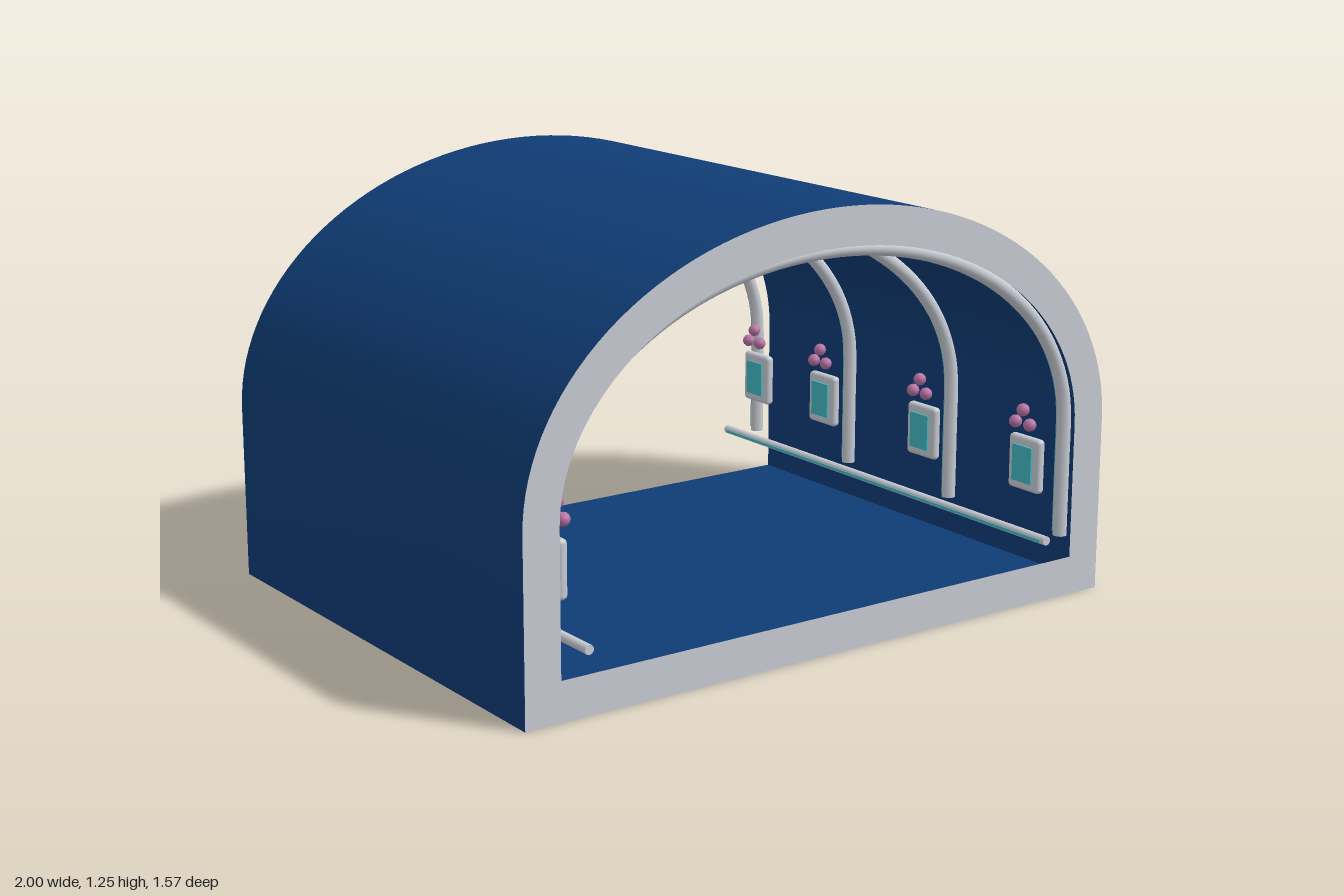
import * as THREE from 'three';
import { toCreasedNormals } from 'three/addons/utils/BufferGeometryUtils.js';
import { RoundedBoxGeometry } from 'three/addons/geometries/RoundedBoxGeometry.js';

const material = (name, color) => {
  const m = new THREE.MeshStandardMaterial({ color });
  m.name = name;
  return m;
};
const navy = material('navy shell', 0x0f3c75);
const silver = material('silver trim', 0xc8ccd4);
silver.side = THREE.DoubleSide;
const teal = material('teal light', 0x45b8c4);
const pink = material('pink blossom', 0xb873a4);

const HALF_DEPTH = 0.785;
const SPRING = 0.52; // height where the walls turn into the elliptical vault

// Points over the vault from the +x side to the -x side
function vault(a, b, n) {
  return Array.from({ length: n + 1 }, (_, i) => {
    const t = (Math.PI * i) / n;
    return new THREE.Vector2(a * Math.cos(t), SPRING + b * Math.sin(t));
  });
}

// Closed tunnel outline: flat floor, upright walls, elliptical vault
const outline = (a, floor, b) =>
  [new THREE.Vector2(-a, floor), new THREE.Vector2(a, floor), ...vault(a, b, 64)];

function ring(inner) {
  const shape = new THREE.Shape(outline(1, 0, 0.727));
  shape.holes.push(new THREE.Path(inner));
  return shape;
}

// Arch path with straight legs
function archCurve(a, b, foot, z) {
  const legs = [0, 0.33, 0.66].map((t) => foot + (SPRING - foot) * t);
  const points = [
    ...legs.map((y) => new THREE.Vector3(a, y, z)),
    ...vault(a, b, 28).map((p) => new THREE.Vector3(p.x, p.y, z)),
    ...legs.reverse().map((y) => new THREE.Vector3(-a, y, z)),
  ];
  return new THREE.CatmullRomCurve3(points);
}

export function createModel() {
  const root = new THREE.Group();
  root.name = 'tunnel';

  const add = (parent, name, geometry, mat, x = 0, y = 0, z = 0) => {
    const mesh = new THREE.Mesh(geometry, mat);
    mesh.name = name;
    mesh.position.set(x, y, z);
    parent.add(mesh);
    return mesh;
  };

  // Hollow shell with a floor, open at both ends
  const shell = new THREE.ExtrudeGeometry(ring(outline(0.98, 0.02, 0.707)), {
    depth: HALF_DEPTH * 2 - 0.002, bevelEnabled: false,
  });
  add(root, 'shell', toCreasedNormals(shell, 0.6), navy, 0, 0, -HALF_DEPTH);

  // Wide flat portal frame on the front end
  add(root, 'portalFrame', new THREE.ShapeGeometry(ring(outline(0.89, 0.115, 0.617))),
    silver, 0, 0, HALF_DEPTH);

  // Four arched ribs, each with a light strip on its rear side
  for (const z of [-0.737, -0.245, 0.245, 0.737]) {
    const rib = new THREE.Group();
    rib.name = 'rib';
    add(rib, 'ribTube', new THREE.TubeGeometry(archCurve(0.893, 0.602, 0.17, 0), 90, 0.021, 10), silver);
    add(rib, 'ribLight', new THREE.TubeGeometry(archCurve(0.888, 0.597, 0.18, -0.018), 90, 0.007, 6), teal);
    for (const side of [-1, 1]) {
      add(rib, 'ribFoot', new THREE.CircleGeometry(0.021, 10), silver, side * 0.893, 0.17, 0)
        .rotation.x = Math.PI / 2;
    }
    rib.position.z = z;
    root.add(rib);
  }

  for (const side of [-1, 1]) {
    // Low handrail along each wall with a light strip
    add(root, 'rail', new THREE.CylinderGeometry(0.014, 0.014, HALF_DEPTH * 2 - 0.01, 10),
      silver, side * 0.8, 0.178, 0).rotation.x = Math.PI / 2;
    add(root, 'railLight', new THREE.BoxGeometry(0.006, 0.008, HALF_DEPTH * 2 - 0.04),
      teal, side * 0.787, 0.176, 0);

    // Wall panels with a screen and a cluster of blossoms above
    for (const z of [0.65, 0.19, -0.3, -0.65]) {
      const panel = new THREE.Group();
      panel.name = 'wallPanel';
      add(panel, 'panelFrame', new RoundedBoxGeometry(0.03, 0.165, 0.13, 3, 0.013),
        silver, side * 0.833, 0.38, 0);
      add(panel, 'panelScreen', new THREE.BoxGeometry(0.009, 0.11, 0.08),
        teal, side * 0.816, 0.38, 0);
      for (const [y, dz] of [[0.505, -0.03], [0.505, 0.03], [0.545, 0]]) {
        add(panel, 'blossom', new THREE.IcosahedronGeometry(0.02, 1), pink, side * 0.812, y, dz);
      }
      panel.position.z = z;
      root.add(panel);
    }
  }
  return root;
}
